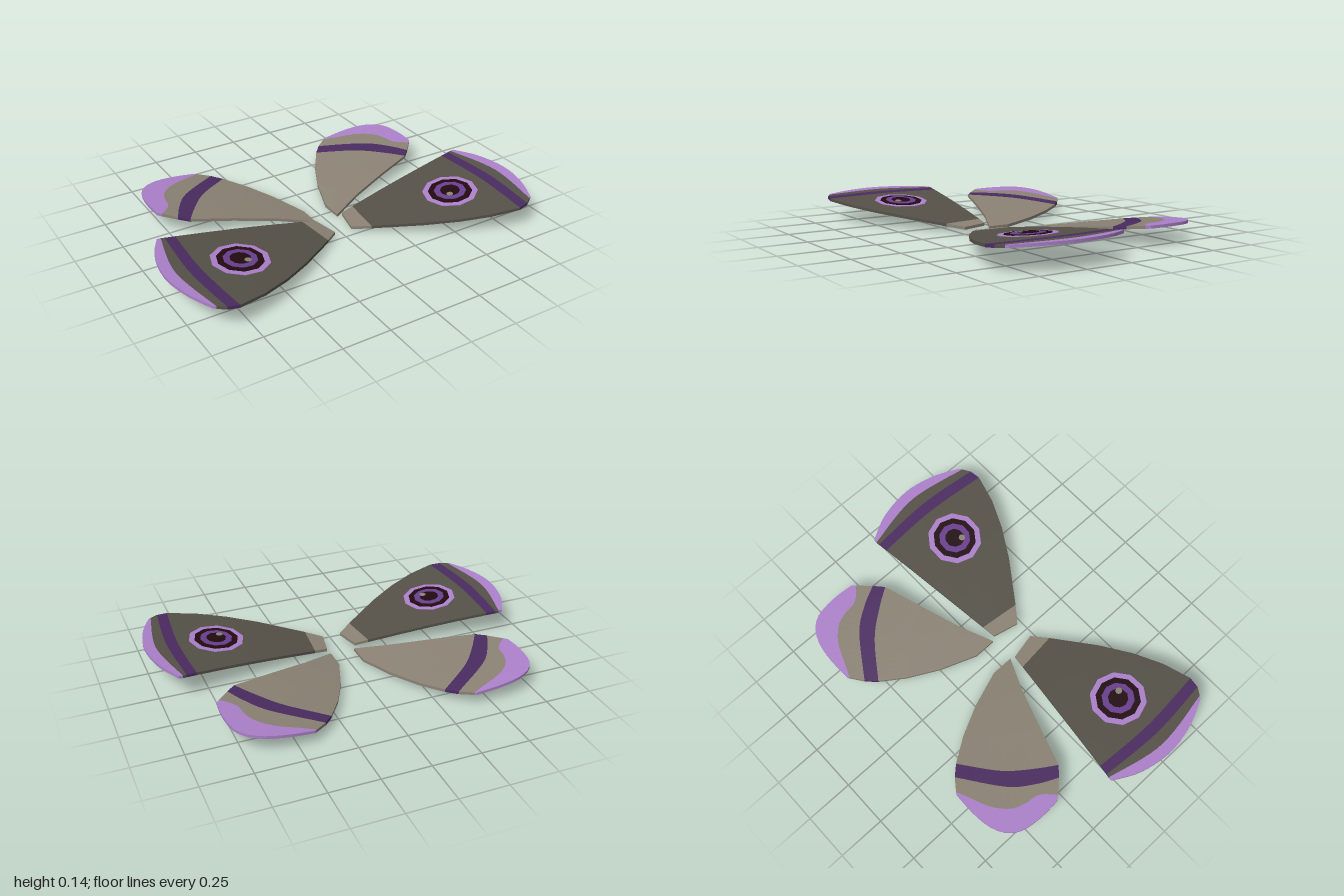
import * as THREE from 'three';

const mat = (name, color) => {
  const m = new THREE.MeshStandardMaterial({ color });
  m.name = name;
  return m;
};

const N = 16;           // points across each wing rung
const THICK = 0.015;

// underside height of a gently arched wing at distance x from the middle
const arch = (x0, x1, y0, y1, bulge) => (x) => {
  const t = (x - x0) / (x1 - x0);
  return y0 + (y1 - y0) * t + 4 * bulge * t * (1 - t);
};
const foreY = arch(0.05, 1, 0.014, 0.121, 0.01);
const hindY = arch(0.067, 0.793, 0, 0.092, 0.01);

// Rungs run from the root to the tip, as [x, z] points from back edge to front edge.
// Each band between two rungs has its own material.
const foreRungs = [
  [[0.08, 0.083], [0.05, 0.222]],
  [[0.152, 0.072], [0.13, 0.285]],
  [[0.345, 0.043], [0.345, 0.438]],
  [[0.5, 0.02], [0.5, 0.53]],
  [[0.65, -0.002], [0.65, 0.597]],
  [[0.81, -0.026], [0.825, 0.3], [0.80, 0.637]],
  [[0.862, -0.034], [0.884, 0.3], [0.857, 0.627]],
  [[0.88, -0.038], [0.943, 0.27], [0.897, 0.6]],
  [[0.9, -0.038], [0.97, 0.1], [1, 0.285], [0.97, 0.455], [0.91, 0.592]],
];
const foreBands = [0, 1, 1, 1, 1, 2, 1, 3];

const hindRungs = [
  [[0.067, -0.057], [0.067, 0.062]],
  [[0.136, -0.25], [0.24, -0.02]],
  [[0.216, -0.41], [0.36, -0.25], [0.46, -0.1]],
  [[0.30, -0.535], [0.483, -0.4], [0.59, -0.275], [0.662, -0.17]],
  [[0.348, -0.587], [0.563, -0.436], [0.655, -0.32], [0.71, -0.215]],
  [[0.41, -0.634], [0.478, -0.605], [0.585, -0.56], [0.66, -0.495], [0.69, -0.425], [0.705, -0.345], [0.77, -0.28]],
  [[0.42, -0.641], [0.55, -0.645], [0.66, -0.63], [0.74, -0.585], [0.78, -0.515], [0.793, -0.4], [0.787, -0.3]],
];
const hindBands = [0, 0, 0, 2, 0, 3];

// closed plate through the rungs, on side s (+1 left, -1 right)
function wingGeometry(rungs, bands, heightAt, s) {
  const rows = rungs.map((r) =>
    new THREE.SplineCurve(r.map((p) => new THREE.Vector2(...p))).getSpacedPoints(N));
  const geo = new THREE.BufferGeometry();
  const pos = [];
  const vertex = (r, i, top) => {
    const p = rows[r][i];
    return [s * p.x, heightAt(p.x) + (top ? THICK : 0), p.y];
  };
  const quad = (a, b, c, d) => {
    const q = s > 0 ? [a, b, c, a, c, d] : [a, c, b, a, d, c];
    q.forEach((v) => pos.push(...v));
  };
  bands.forEach((m, r) => {
    const start = pos.length / 3;
    for (let i = 0; i < N; i++) {
      quad(vertex(r, i, 1), vertex(r, i + 1, 1), vertex(r + 1, i + 1, 1), vertex(r + 1, i, 1));
      quad(vertex(r, i, 0), vertex(r + 1, i, 0), vertex(r + 1, i + 1, 0), vertex(r, i + 1, 0));
      // root and tip edges
      if (r === 0) quad(vertex(r, i, 0), vertex(r, i + 1, 0), vertex(r, i + 1, 1), vertex(r, i, 1));
      if (r === bands.length - 1)
        quad(vertex(r + 1, i, 1), vertex(r + 1, i + 1, 1), vertex(r + 1, i + 1, 0), vertex(r + 1, i, 0));
    }
    // back and front edges
    quad(vertex(r, 0, 0), vertex(r, 0, 1), vertex(r + 1, 0, 1), vertex(r + 1, 0, 0));
    quad(vertex(r, N, 1), vertex(r, N, 0), vertex(r + 1, N, 0), vertex(r + 1, N, 1));
    geo.addGroup(start, pos.length / 3 - start, m);
  });
  geo.setAttribute('position', new THREE.Float32BufferAttribute(pos, 3));
  geo.computeVertexNormals();
  return geo;
}

export function createModel() {
  const tan = mat('tan', 0x8b8274);
  const dark = mat('dark olive grey', 0x555148);
  const deep = mat('deep purple', 0x4a2b60);
  const lilac = mat('lilac', 0xac80ca);
  const maroon = mat('dark maroon', 0x210a10);
  const violet = mat('violet', 0x693f8e);
  const palette = [tan, dark, deep, lilac];
  const model = new THREE.Group();
  model.name = 'wings';

  for (const s of [1, -1]) {
    const side = s > 0 ? 'left' : 'right';
    const fore = new THREE.Mesh(wingGeometry(foreRungs, foreBands, foreY, s), palette);
    fore.name = side + 'Forewing';
    const hind = new THREE.Mesh(wingGeometry(hindRungs, hindBands, hindY, s), palette);
    hind.name = side + 'Hindwing';

    // eyespot: stacked thin discs lying on the wing, showing on both faces
    const spot = new THREE.Group();
    spot.name = side + 'Eyespot';
    const cx = 0.622;
    spot.position.set(s * cx, foreY(cx) + THICK / 2, 0.293);
    spot.rotation.z = s * Math.atan((foreY(cx + 0.1) - foreY(cx - 0.1)) / 0.2);
    const disc = (name, radius, y, material, sides = 10, x = 0, z = 0) => {
      const g = new THREE.CylinderGeometry(radius, radius, 0.002, sides, 1, false, Math.PI / 2);
      const m = new THREE.Mesh(g, material);
      m.name = name;
      m.position.set(x, y, z);
      spot.add(m);
    };
    const h = THICK / 2 + 0.001;
    disc('outerRing', 0.146, h, lilac);
    disc('darkRing', 0.116, h + 0.002, maroon);
    disc('innerRing', 0.085, h + 0.004, violet);
    disc('pupil', 0.052, h + 0.006, maroon);
    disc('glint', 0.018, h + 0.008, tan, 8, -s * 0.025, 0.03);
    disc('undersideRing', 0.146, -h - 0.001, lilac);
    disc('undersideCentre', 0.082, -h - 0.003, violet);

    model.add(fore, hind, spot);
  }
  return model;
}
